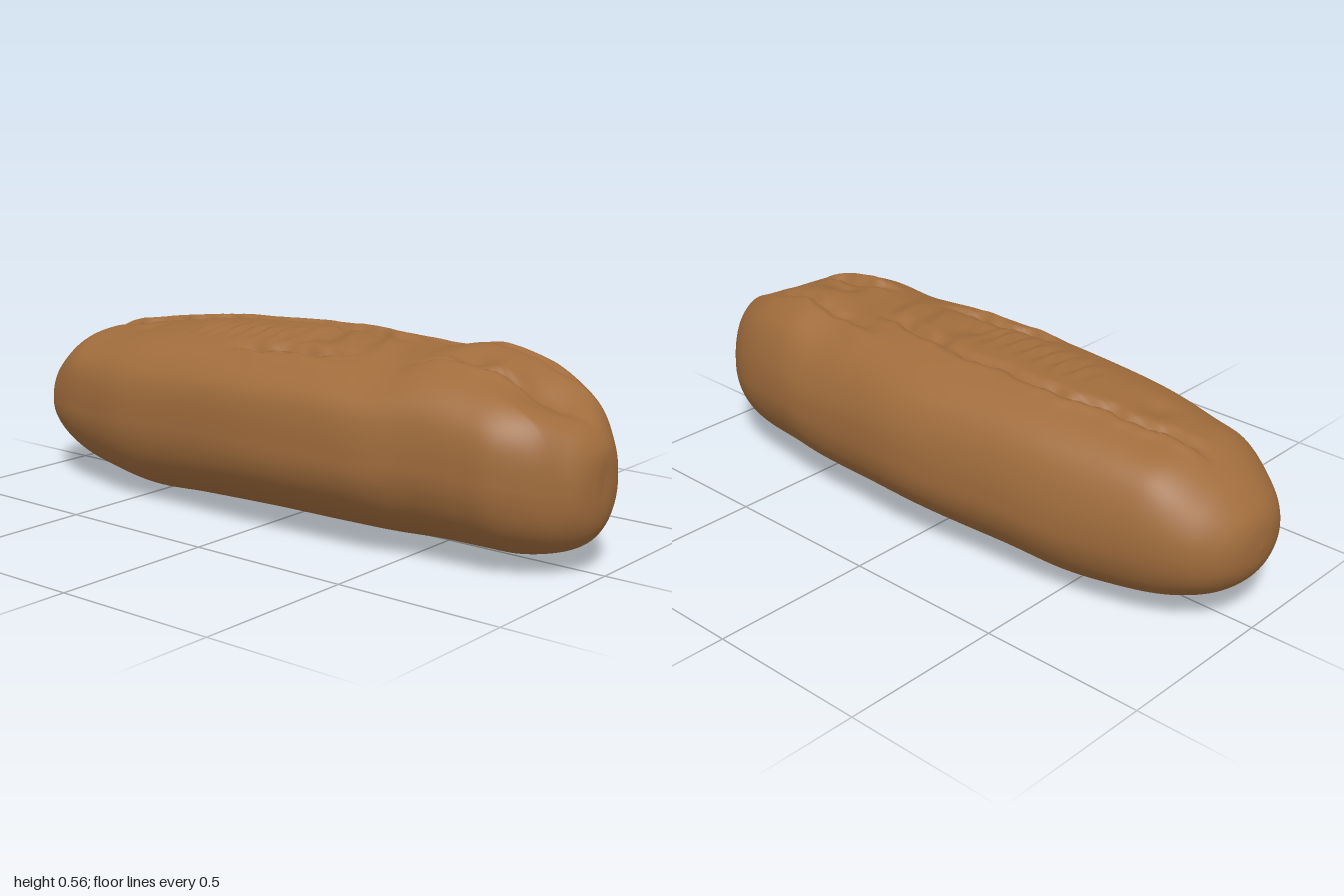
import * as THREE from 'three';

// Loaf stations, back to front: z, left edge, right edge, bottom, top
const STATIONS = [
  [-1.0, -0.02, -0.02, 0.24, 0.24], [-0.99, -0.09, 0.06, 0.18, 0.31], [-0.96, -0.16, 0.125, 0.13, 0.36],
  [-0.9, -0.215, 0.185, 0.085, 0.415], [-0.8, -0.262, 0.235, 0.045, 0.475], [-0.68, -0.295, 0.267, 0.022, 0.497],
  [-0.5, -0.33, 0.297, 0.002, 0.522], [-0.3, -0.338, 0.318, 0.01, 0.54], [0, -0.345, 0.345, 0.018, 0.552],
  [0.25, -0.342, 0.337, 0.022, 0.55], [0.42, -0.333, 0.328, 0.025, 0.54], [0.56, -0.305, 0.312, 0.028, 0.562],
  [0.7, -0.29, 0.288, 0.03, 0.54], [0.8, -0.275, 0.252, 0.035, 0.51], [0.89, -0.225, 0.192, 0.055, 0.47],
  [0.95, -0.165, 0.125, 0.085, 0.42], [0.985, -0.12, 0.075, 0.13, 0.37], [1.0, -0.065, 0.02, 0.19, 0.33],
  [1.0, -0.025, -0.025, 0.27, 0.27],
];
const RINGS = 380, SIDES = 180;

function station(t) {
  const last = STATIONS.length - 1;
  const i = Math.min(Math.floor(t * last), last - 1), f = t * last - i;
  const at = (k) => STATIONS[Math.min(Math.max(k, 0), last)];
  const [a, b, c, d] = [at(i - 1), at(i), at(i + 1), at(i + 2)];
  return b.map((v, k) => v + 0.5 * f * (c[k] - a[k]
    + f * (2 * a[k] - 5 * v + 4 * c[k] - d[k] + f * (3 * (v - c[k]) + d[k] - a[k]))));
}

const bump = (d, w) => Math.exp(-((d / w) ** 2));
const span = (z, a, b, soft = 0.06) =>
  THREE.MathUtils.smoothstep(z, a - soft, a + soft) * (1 - THREE.MathUtils.smoothstep(z, b - soft, b + soft));

// Torn crust along the top: creases, folds and hollows
function crust(x, z) {
  // the crown leans toward the right-hand edge of the section
  let h = 0.06 * THREE.MathUtils.clamp(x - 0.02, -0.2, 0.15) * span(z, -0.8, 0.85, 0.15);
  // long creases: z range, centre x, slope, width, depth
  for (const [a, b, cx, slope, w, depth] of [
    [-0.8, -0.3, 0.05, 0.2, 0.014, 0.03], [-0.3, 0.0, 0.1, 0.08, 0.014, 0.016],
    [-0.1, 0.24, -0.17, 0.12, 0.02, 0.035], [-0.02, 0.26, -0.2, 0.1, 0.01, 0.012],
    [0.04, 0.3, 0.08, -0.15, 0.02, 0.026], [0.3, 0.8, 0.13, -0.05, 0.014, 0.014],
    [0.5, 0.8, -0.08, 0.22, 0.015, 0.024],
  ]) {
    const wobble = 0.006 * Math.sin(z * 31 + cx * 40) + 0.003 * Math.sin(z * 73);
    const d = x - cx - slope * (z - (a + b) / 2) - wobble;
    h -= depth * span(z, a, b) * (bump(d, w) - 0.3 * bump(d - Math.sign(cx) * 0.035, 0.022));
  }
  // crosswise folds in the middle
  h += 0.011 * Math.sin(z * 105 + 60 * (x + 0.07) ** 2) * span(z, -0.36, 0.04) * bump(x + 0.07, 0.05);
  h += 0.007 * Math.sin(z * 48 + 18 * x) * span(z, 0.0, 0.36) * bump(x + 0.03, 0.09);
  // hollows
  h -= 0.035 * bump(x + 0.03, 0.055) * bump(z - 0.59, 0.07);
  h -= 0.02 * bump(x + 0.05, 0.07) * bump(z - 0.06, 0.05);
  h -= 0.014 * bump(x + 0.07, 0.05) * bump(z + 0.6, 0.05);
  // V-shaped split running down the front end
  const vee = Math.max(0, 1 - Math.abs(x + 0.01) / (x < -0.01 ? 0.17 : 0.12));
  h -= 0.065 * vee * span(z, 0.75, 0.92, 0.08);
  return h;
}

function loafGeometry() {
  const pos = [], index = [];
  const power = (v, p) => Math.sign(v) * Math.abs(v) ** p;
  for (let i = 0; i <= RINGS; i++) {
    const [z, left, right, bottom, top] = station(i / RINGS);
    const cx = (left + right) / 2, rx = (right - left) / 2;
    const cy = bottom + (top - bottom) * 0.49;
    const boxy = span(z, -0.85, 0.95, 0.1);
    for (let j = 0; j < SIDES; j++) {
      const a = (j / SIDES) * Math.PI * 2, s = Math.sin(a), c = Math.cos(a);
      // flat top with a fuller left shoulder, rounder underside
      const p = s > 0 ? 2 / (2.2 + boxy * (0.5 - 0.25 * c)) : 0.97;
      const x = cx + rx * power(c, p);
      let y = cy + (s > 0 ? top - cy : cy - bottom) * power(s, p);
      if (s > 0) y += crust(x, z) * THREE.MathUtils.smoothstep(s, 0.25, 0.7);
      // gentle hand-shaped unevenness
      const lump = 1 + 0.006 * Math.sin(9 * z + 3 * a) * Math.sin(5 * a - 4 * z);
      pos.push(cx + (x - cx) * lump, y, z);
    }
  }
  for (let i = 0; i < RINGS; i++) {
    for (let j = 0; j < SIDES; j++) {
      const k = (j + 1) % SIDES;
      const a = i * SIDES + j, b = i * SIDES + k, c = a + SIDES, d = b + SIDES;
      index.push(a, b, d, a, d, c);
    }
  }
  const geometry = new THREE.BufferGeometry();
  geometry.setAttribute('position', new THREE.Float32BufferAttribute(pos, 3));
  geometry.setIndex(index);
  geometry.computeVertexNormals();
  return geometry;
}

export function createModel() {
  const group = new THREE.Group();
  group.name = 'breadLoaf';
  const bakedCrust = new THREE.MeshStandardMaterial({ color: 0xa06c3c });
  bakedCrust.name = 'baked crust';
  const loaf = new THREE.Mesh(loafGeometry(), bakedCrust);
  loaf.name = 'loaf';
  group.add(loaf);
  return group;
}
